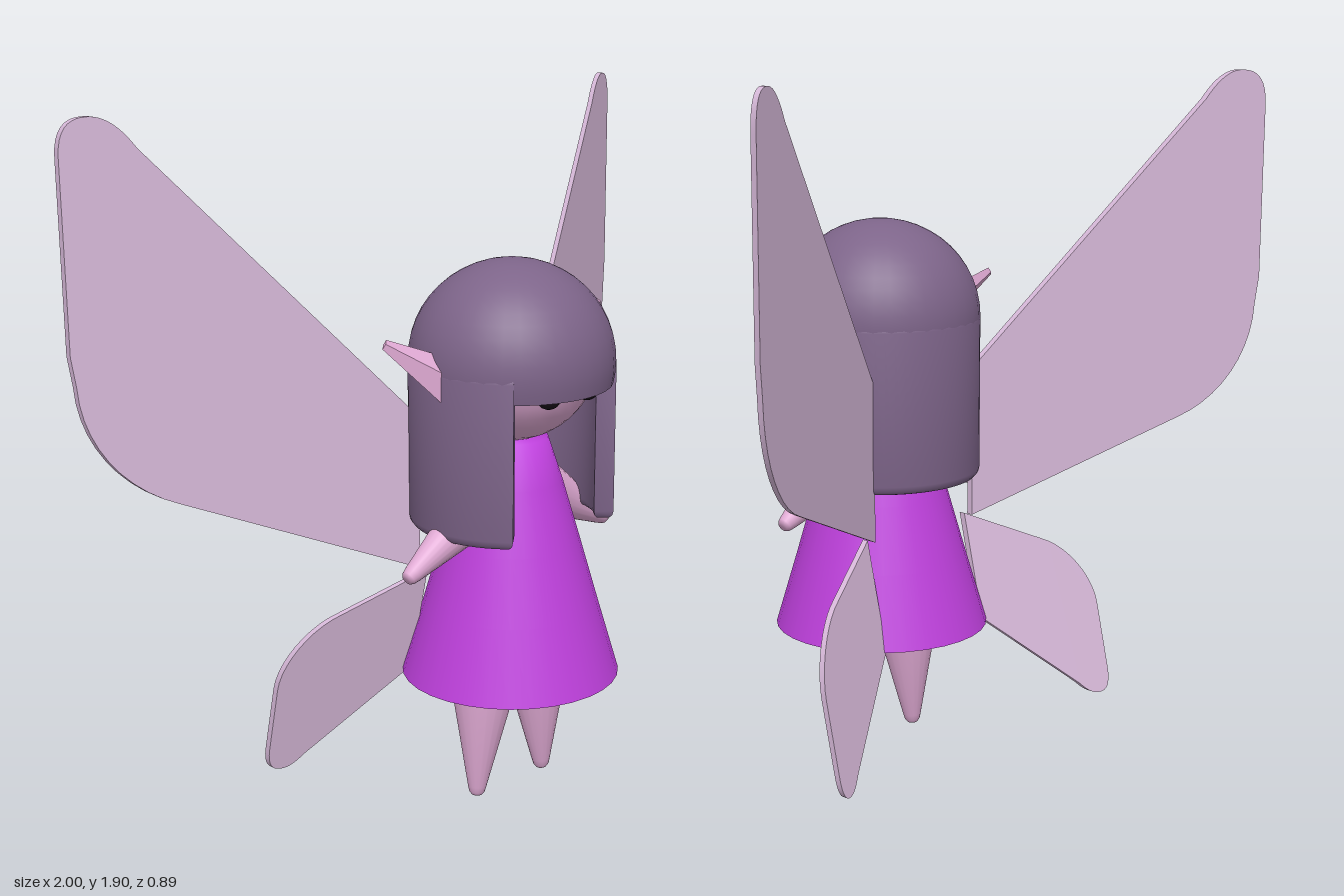
import * as THREE from 'three';
import { toCreasedNormals } from 'three/addons/utils/BufferGeometryUtils.js';

const skin = new THREE.MeshStandardMaterial({ color: 0xe0aad4 });
const skinFlat = new THREE.MeshStandardMaterial({ color: 0xe0aad4, flatShading: true });
const hairMat = new THREE.MeshStandardMaterial({ color: 0x7d6489 });
const dressMat = new THREE.MeshStandardMaterial({ color: 0xbe40dc, side: THREE.DoubleSide });
const wingMat = new THREE.MeshStandardMaterial({ color: 0xd6b8d8 });
const eyeMat = new THREE.MeshStandardMaterial({ color: 0x181018 });
const BODY_Z = 0.145;
const UP = new THREE.Vector3(0, 1, 0);

const lathe = (pts, segments = 32) =>
  new THREE.LatheGeometry(pts.map(([r, y]) => new THREE.Vector2(r, y)), segments);

function add(parent, name, geometry, material, x = 0, y = 0, z = 0) {
  const mesh = new THREE.Mesh(geometry, material);
  mesh.name = name;
  mesh.position.set(x, y, z);
  parent.add(mesh);
  return mesh;
}

// Tapered limb standing on its tip, with softly rounded ends
function limb(tipRadius, rootRadius, length) {
  const t = tipRadius, r = rootRadius;
  return lathe([[0, 0], [t * 0.7, 0], [t, t * 0.4], [t * 1.2, t * 1.2],
    [r, length], [r * 0.7, length + r * 0.6], [0, length + r * 0.85]], 20);
}

// Place a part so its local y axis runs from one point to another
function aim(mesh, from, to) {
  mesh.position.copy(from);
  mesh.quaternion.setFromUnitVectors(UP, to.clone().sub(from).normalize());
}

// Thin wing: outline in x and y, then swept back along a slanted plane
function wing(side, draw, depthAt) {
  const shape = new THREE.Shape();
  draw(shape, side);
  const geo = new THREE.ExtrudeGeometry(shape, { depth: 0.018, bevelEnabled: false, curveSegments: 10 });
  const p = geo.attributes.position;
  for (let i = 0; i < p.count; i++) {
    p.setZ(i, p.getZ(i) - 0.009 + depthAt(Math.abs(p.getX(i)), p.getY(i)));
  }
  return toCreasedNormals(geo, 0.6);
}

function upperOutline(shape, s) {
  shape.moveTo(0.2 * s, 0.65);
  shape.lineTo(0.77 * s, 0.89);
  shape.bezierCurveTo(0.9 * s, 0.94, 0.985 * s, 1.07, 0.99 * s, 1.22);
  shape.lineTo(1.0 * s, 1.3);
  shape.lineTo(1.0 * s, 1.8);
  shape.bezierCurveTo(1.0 * s, 1.89, 0.96 * s, 1.9, 0.93 * s, 1.9);
  shape.quadraticCurveTo(0.88 * s, 1.9, 0.83 * s, 1.82);
  shape.lineTo(0.2 * s, 1.08);
}

function lowerOutline(shape, s) {
  shape.moveTo(0.2 * s, 0.65);
  shape.lineTo(0.42 * s, 0.55);
  shape.bezierCurveTo(0.5 * s, 0.52, 0.567 * s, 0.42, 0.567 * s, 0.34);
  shape.lineTo(0.567 * s, 0.15);
  shape.bezierCurveTo(0.567 * s, 0.08, 0.54 * s, 0.08, 0.525 * s, 0.08);
  shape.quadraticCurveTo(0.5 * s, 0.08, 0.47 * s, 0.115);
  shape.lineTo(0.2 * s, 0.35);
}

// Long hair: C-shaped wall, open at the front, with rounded edges
function longHair() {
  const open = 0.84, start = -Math.PI / 2 + open, end = Math.PI * 1.5 - open;
  const shape = new THREE.Shape();
  shape.absarc(0, 0, 0.258, start, end, false);
  shape.absarc(0, 0, 0.246, end, start, true);
  const geo = new THREE.ExtrudeGeometry(shape, {
    depth: 0.42, bevelThickness: 0.025, bevelSize: 0.021, bevelSegments: 3, curveSegments: 24,
  });
  geo.rotateX(-Math.PI / 2);
  return toCreasedNormals(geo, 0.7);
}

// Rounded cap of hair that ends in a straight fringe
function hairCap() {
  const pts = [[0.215, 1.19], [0.272, 1.172], [0.277, 1.2]];
  for (let i = 0; i <= 12; i++) {
    const a = (i / 12) * Math.PI / 2;
    pts.push([0.279 * Math.cos(a), 1.235 + 0.27 * Math.sin(a)]);
  }
  return toCreasedNormals(lathe(pts, 36), 0.8);
}

export function createModel() {
  const model = new THREE.Group();
  model.name = 'fairy';

  // Body and head
  add(model, 'dress', lathe([[0.302, 0.348], [0.242, 0.55], [0.19, 0.73], [0.14, 0.9], [0.1, 1.02], [0, 1.03]]),
    dressMat, 0, 0, BODY_Z);
  add(model, 'head', new THREE.SphereGeometry(0.235, 32, 20), skin, 0, 1.25, BODY_Z);
  add(model, 'hairCap', hairCap(), hairMat, 0, 0, BODY_Z);
  add(model, 'longHair', longHair(), hairMat, 0, 0.807, BODY_Z);

  for (const s of [1, -1]) {
    const side = s > 0 ? 'left' : 'right';
    const at = (x, y, z) => new THREE.Vector3(x * s, y, z);

    add(model, side + 'Eye', new THREE.SphereGeometry(0.034, 16, 12), eyeMat, 0.072 * s, 1.178, 0.352);

    // Flattened four-sided pointed ear
    const earGeo = new THREE.CylinderGeometry(0.014, 0.07, 0.24, 4).scale(1, 1, 0.5).translate(0, 0.12, 0);
    aim(add(model, side + 'Ear', earGeo, skinFlat), at(0.215, 1.195, 0.165), at(0.41, 1.33, 0.085));

    // Limbs run from hand or foot tip towards the body
    aim(add(model, side + 'Arm', limb(0.021, 0.076, 0.3), skin), at(0.385, 0.7, BODY_Z), at(0.1, 0.86, BODY_Z));
    aim(add(model, side + 'Leg', limb(0.022, 0.101, 0.37), skin), at(0.13, 0, BODY_Z), at(0.1, 0.37, BODY_Z));

    add(model, side + 'UpperWing', wing(s, upperOutline, (x) => -0.015 - 0.53 * (x - 0.2)), wingMat);
    add(model, side + 'LowerWing',
      wing(s, lowerOutline, (x, y) => -0.055 + 0.23 * (y - 0.35) - 0.37 * (x - 0.2)), wingMat);
  }
  return model;
}
